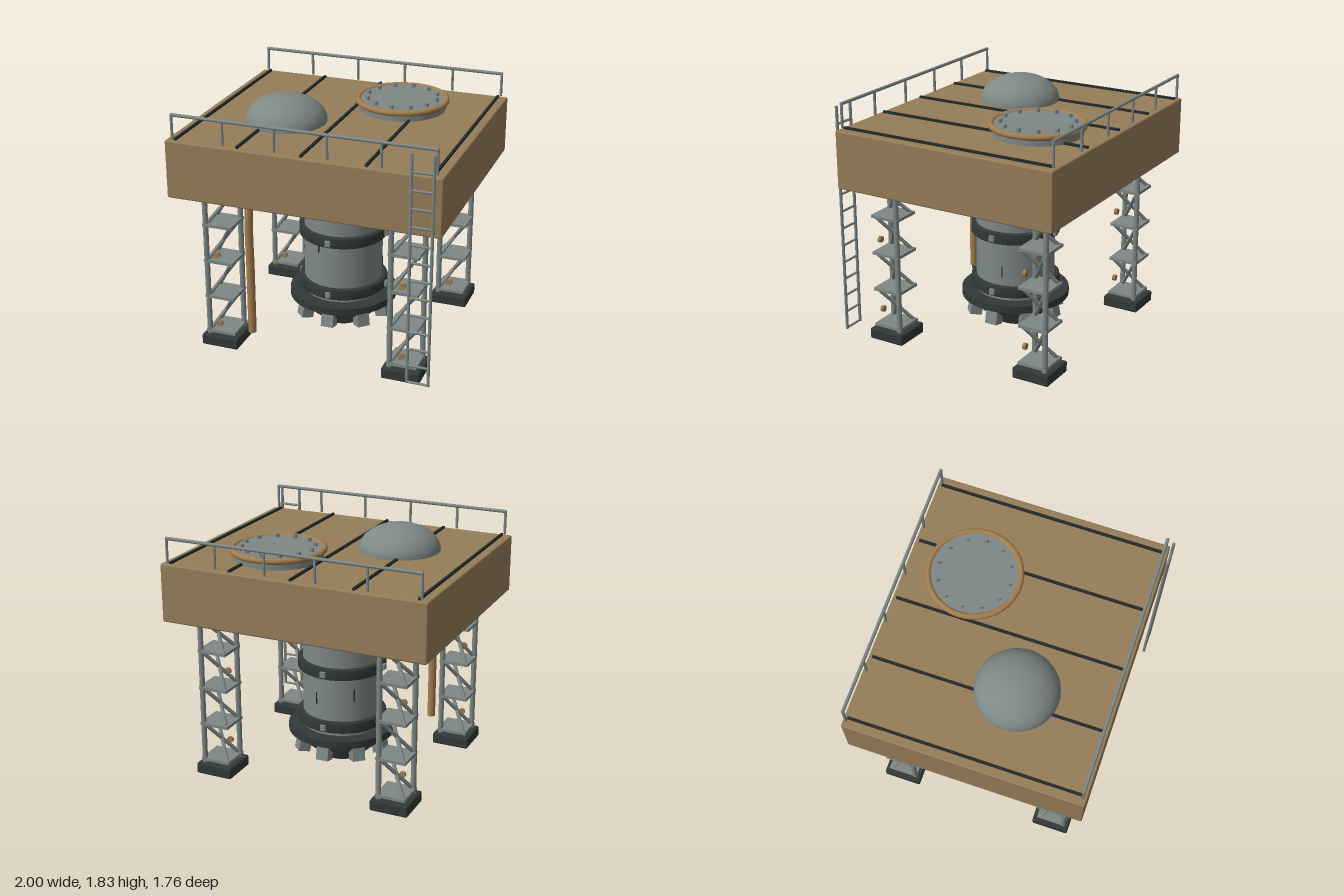
import * as THREE from 'three';
import { RoundedBoxGeometry } from 'three/addons/geometries/RoundedBoxGeometry.js';

const material = (name, color) => Object.assign(new THREE.MeshStandardMaterial({ color }), { name });
const V = (x, y, z) => new THREE.Vector3(x, y, z);

export function createModel() {
  const root = new THREE.Group();
  root.name = 'rigPlatform';
  const tan = material('tan hull', 0x957d58);
  const steel = material('grey steel', 0x7e8886);
  const brass = material('brass', 0xa27d4e);
  const dark = material('dark iron', 0x313938);
  const cone = material('burnt steel', 0x485150);
  const black = material('seam black', 0x23292a);
  const CZ = -0.016; // centre of the platform in z

  const add = (parent, name, geo, mat, x = 0, y = 0, z = 0) => {
    const mesh = new THREE.Mesh(geo, mat);
    mesh.name = name;
    mesh.position.set(x, y, z);
    parent.add(mesh);
    return mesh;
  };
  const group = (name, x = 0, y = 0, z = 0) => {
    const g = new THREE.Group();
    g.name = name;
    g.position.set(x, y, z);
    root.add(g);
    return g;
  };
  const box = (w, h, d) => new THREE.BoxGeometry(w, h, d);
  const cyl = (rt, rb, h, n = 40) => new THREE.CylinderGeometry(rt, rb, h, n);
  // Round bar between two points
  const bar = (parent, name, a, b, r, mat = steel) => {
    const m = add(parent, name, cyl(r, r, a.distanceTo(b), 10), mat);
    m.position.copy(a).add(b).multiplyScalar(0.5);
    m.quaternion.setFromUnitVectors(V(0, 1, 0), b.clone().sub(a).normalize());
    return m;
  };

  // Platform slab and roof seams
  add(root, 'platform', new RoundedBoxGeometry(2, 0.428, 1.725, 2, 0.012), tan, 0, 1.417, CZ);
  for (let i = -2; i <= 2; i++) {
    add(root, 'roofSeam', box(0.018, 0.02, 1.67), black, i * 0.465, 1.637, CZ);
  }

  // Dome
  const dome = add(root, 'dome', new THREE.SphereGeometry(0.297, 40, 16, 0, Math.PI * 2, 0, Math.PI / 2),
    steel, -0.372, 1.63, 0.166);
  dome.scale.y = 0.64;

  // Round hatch with brass rim and bolts
  const hatch = group('hatch', 0.324, 0, -0.385);
  add(hatch, 'hatchLid', cyl(0.32, 0.32, 0.08, 48), steel, 0, 1.665, 0);
  add(hatch, 'hatchRim', new THREE.TorusGeometry(0.325, 0.022, 12, 56), brass, 0, 1.695, 0).rotation.x = Math.PI / 2;
  for (let i = 0; i < 12; i++) {
    const a = i * Math.PI / 6;
    add(hatch, 'hatchBolt', cyl(0.016, 0.016, 0.03, 10), steel, 0.26 * Math.sin(a), 1.717, 0.26 * Math.cos(a));
  }

  // Front and back railings
  for (const z of [0.818, -0.856]) {
    const railing = group('railing', 0, 0, z);
    bar(railing, 'handrail', V(-0.955, 1.815, 0), V(0.955, 1.815, 0), 0.012);
    for (let i = 0; i < 6; i++) {
      const x = -0.95 + i * 0.38;
      bar(railing, 'railPost', V(x, 1.642, 0), V(x, 1.82, 0), 0.01);
    }
  }

  // Ladder
  const ladder = group('ladder', 0, 0, 0.867);
  for (const x of [0.791, 0.944]) bar(ladder, 'ladderRail', V(x, 0.09, 0), V(x, 1.79, 0), 0.011);
  for (let i = 0; i < 13; i++) {
    bar(ladder, 'ladderRung', V(0.791, 0.097 + i * 0.1303, 0), V(0.944, 0.097 + i * 0.1303, 0), 0.009);
  }

  // Four lattice legs
  const P = 0.094, step = 0.284;
  for (const sx of [-1, 1]) for (const sz of [-1, 1]) {
    const leg = group('latticeLeg', sx * 0.698, 0, CZ + sz * 0.611);
    add(leg, 'footPad', new RoundedBoxGeometry(0.284, 0.083, 0.284, 2, 0.012), dark, 0, 0.0415, 0);
    for (const s of [-1, 1]) bar(leg, 'legPost', V(s * P, 0.07, -s * P), V(s * P, 1.22, -s * P), 0.02);
    for (let i = 0; i < 4; i++) {
      const y = 0.11 + i * step, top = Math.min(y + step, 1.21);
      add(leg, 'legPlate', box(0.225, 0.022, 0.225), steel, 0, y, 0);
      for (const s of [-1, 1]) bar(leg, 'legBrace', V(-P, y, -s * P), V(P, top, s * P), 0.014);
    }
    for (const y of [0.19, 0.745]) {
      add(leg, 'legLamp', cyl(0.024, 0.024, 0.024, 16), brass, 0, y, 0.119).rotation.x = Math.PI / 2;
    }
  }

  // Drain pipe bending into the slab
  const path = new THREE.CatmullRomCurve3([V(-0.465, 0.14, 0.655), V(-0.465, 0.6, 0.655),
    V(-0.465, 1.1, 0.655), V(-0.455, 1.17, 0.645), V(-0.42, 1.23, 0.61)]);
  add(root, 'drainPipe', new THREE.TubeGeometry(path, 40, 0.03, 16), brass);
  add(root, 'pipeEnd', cyl(0.03, 0.03, 0.004, 16), brass, -0.465, 0.14, 0.655);

  // Central drum
  const drum = group('drum', 0, 0, CZ);
  add(drum, 'drumBody', cyl(0.294, 0.294, 0.97), steel, 0, 0.735, 0);
  add(drum, 'topFlange', cyl(0.365, 0.365, 0.03), dark, 0, 1.2, 0);
  for (const y of [0.775, 0.356]) {
    const profile = [[0.28, -0.042], [0.322, -0.042], [0.331, -0.034], [0.331, 0.034], [0.322, 0.042], [0.28, 0.042]]
      .map(p => new THREE.Vector2(...p));
    add(drum, 'drumBand', new THREE.LatheGeometry(profile, 40), dark, 0, y, 0);
    for (let i = 0; i < 4; i++) {
      const a = i * Math.PI / 2;
      add(drum, 'bandLug', box(0.038, 0.042, 0.05), steel, 0.325 * Math.sin(a), y, 0.325 * Math.cos(a)).rotation.y = a;
    }
  }
  // Narrow slits around the drum: angle in degrees, height
  for (const [deg, y] of [[45, 0.765], [101, 0.505], [165, 0.56], [222, 0.6], [282, 0.62], [342, 0.71]]) {
    const a = deg * Math.PI / 180;
    add(drum, 'drumSlit', box(0.009, 0.09, 0.009), black, 0.294 * Math.sin(a), y, 0.294 * Math.cos(a)).rotation.y = a;
  }

  // Drill head: collar, cone and ring of tilted teeth
  add(drum, 'headCollar', cyl(0.404, 0.404, 0.053), dark, 0, 0.257, 0);
  add(drum, 'headCone', cyl(0.385, 0.142, 0.21), cone, 0, 0.127, 0);
  for (let i = 0; i < 8; i++) {
    const a = i * Math.PI / 4;
    const tooth = add(drum, 'headTooth', box(0.095, 0.115, 0.09), steel, 0.31 * Math.sin(a), 0.15, 0.31 * Math.cos(a));
    tooth.rotation.set(-0.2, a, 0, 'YXZ');
  }
  return root;
}
